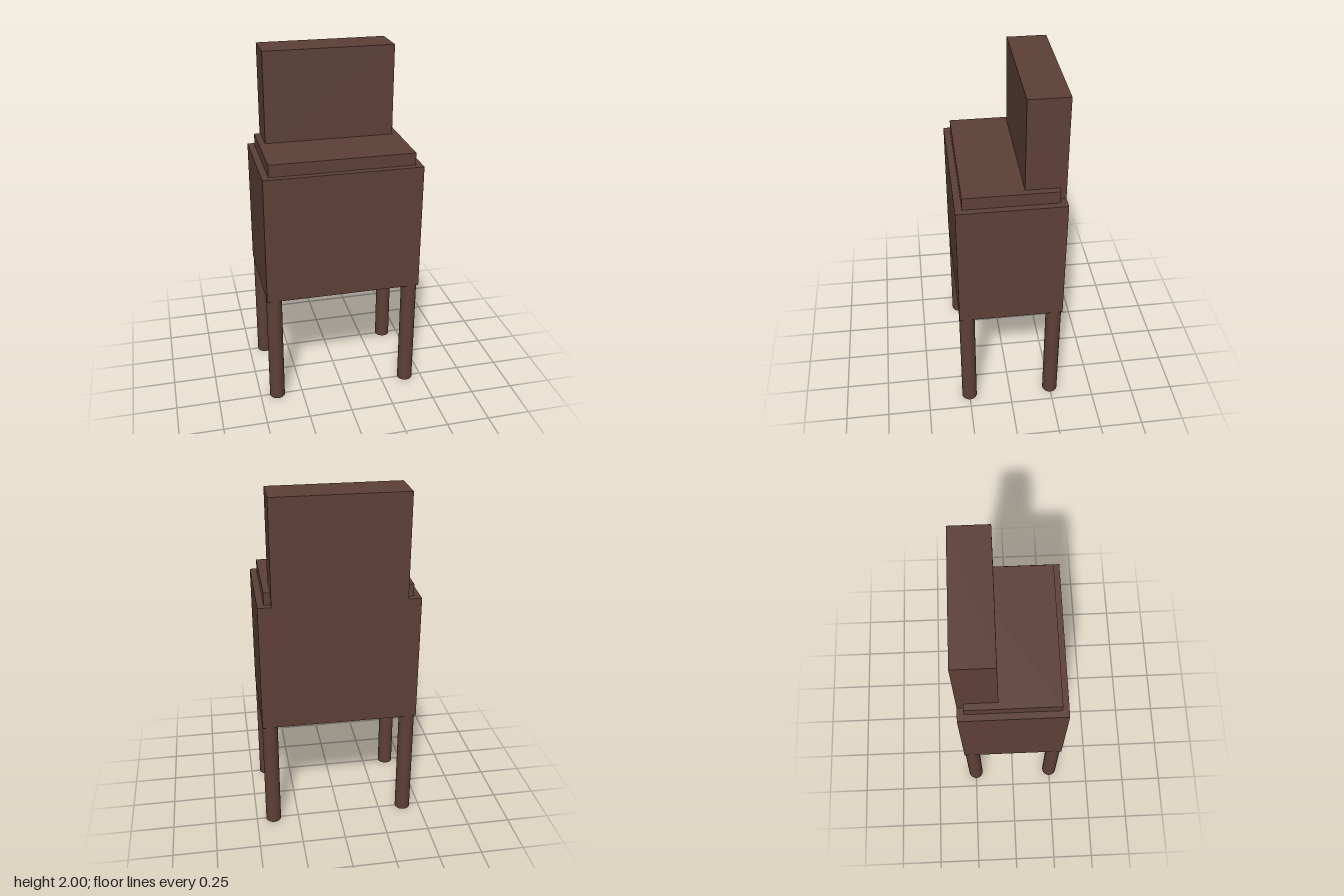
import * as THREE from 'three';

export function createModel() {
  const model = new THREE.Group();
  const brown = new THREE.MeshStandardMaterial({ color: 0x5d4037 });
  brown.name = 'dark brown';

  const add = (name, geometry, x, y, z) => {
    const mesh = new THREE.Mesh(geometry, brown);
    mesh.name = name;
    mesh.position.set(x, y, z);
    model.add(mesh);
  };
  // Box standing on y = bottom
  const box = (name, width, height, depth, bottom, z) =>
    add(name, new THREE.BoxGeometry(width, height, depth), 0, bottom + height / 2, z);

  box('body', 0.89, 0.74, 0.59, 0.67, 0);
  box('seat', 0.816, 0.07, 0.515, 1.41, 0);
  box('backrest', 0.742, 0.59, 0.22, 1.41, -0.185);

  // Four round legs, flush with the corners of the body
  const r = 0.0445, legHeight = 0.67;
  const legGeometry = new THREE.CylinderGeometry(r, r, legHeight, 32);
  for (const [side, sx] of [['left', 1], ['right', -1]]) {
    for (const [end, sz] of [['Front', 1], ['Back', -1]]) {
      add(`${side}${end}Leg`, legGeometry, sx * (0.445 - r), legHeight / 2, sz * (0.295 - r));
    }
  }
  return model;
}
